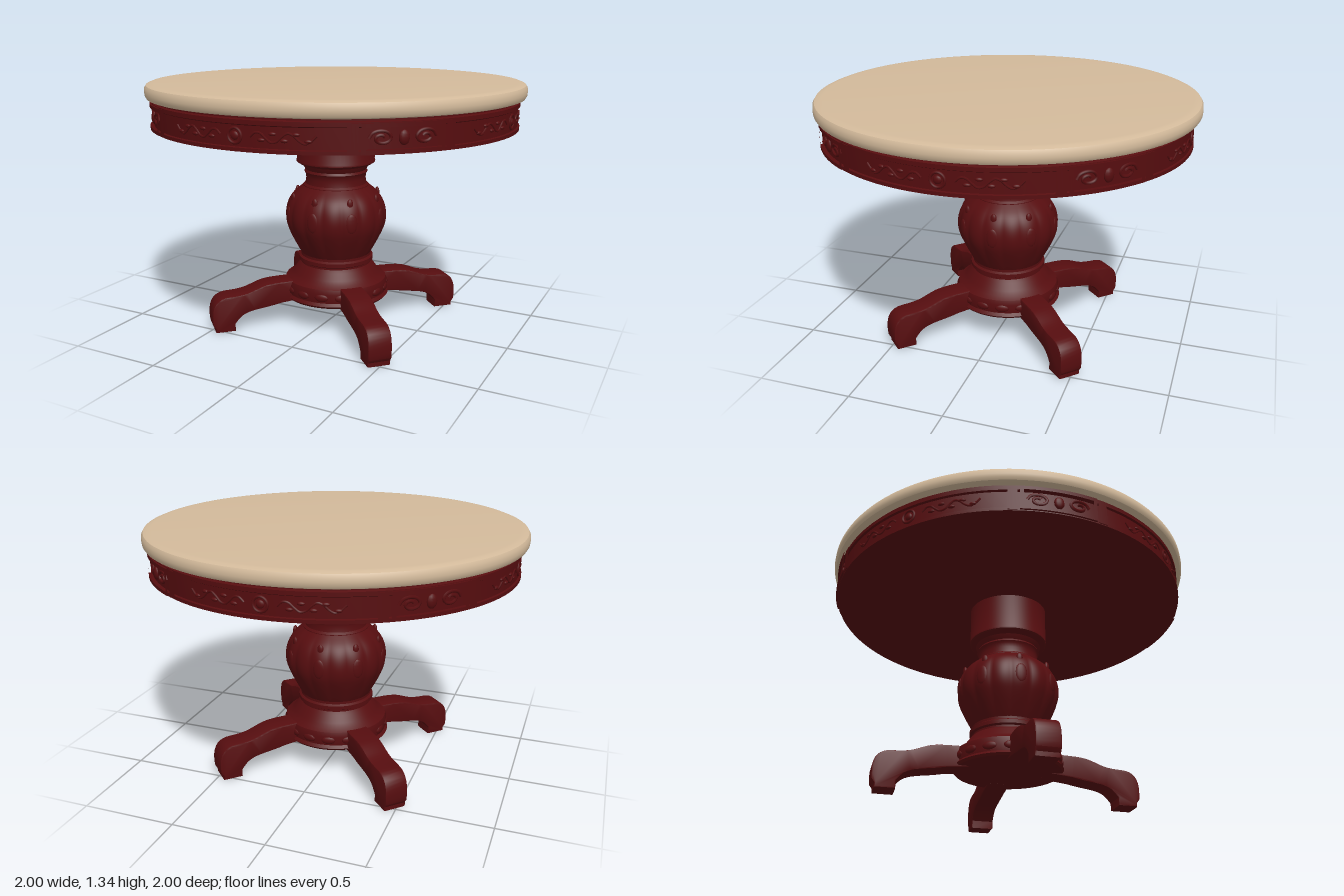
import * as THREE from 'three';
import { toCreasedNormals } from 'three/addons/utils/BufferGeometryUtils.js';

const wood = new THREE.MeshStandardMaterial({ color: 0x560d0f });
wood.name = 'dark red wood';
const stone = new THREE.MeshStandardMaterial({ color: 0xd3ba9b });
stone.name = 'cream stone';

const V2 = (list) => list.map(([x, y]) => new THREE.Vector2(x, y));
const around = (r, a, y) => new THREE.Vector3(r * Math.sin(a), y, r * Math.cos(a));

function add(parent, name, geometry, material = wood) {
  const mesh = new THREE.Mesh(geometry, material);
  mesh.name = name;
  parent.add(mesh);
  return mesh;
}

// Turned part, or an arc of one, with crisp edges
function turned(profile, segments = 96, start = 0, length = Math.PI * 2) {
  return toCreasedNormals(new THREE.LatheGeometry(V2(profile), segments, start, length), 0.6);
}

// Thin carved line that follows the round apron
function carvedLine(parent, name, r, points, thick) {
  const curve = new THREE.CatmullRomCurve3(points.map(([a, y]) => around(r, a, y)));
  add(parent, name, new THREE.TubeGeometry(curve, points.length * 5, thick, 5));
}

// Flattened carved boss facing outward
function boss(parent, name, r, a, y, w, h, d) {
  const mesh = add(parent, name, new THREE.SphereGeometry(1, 12, 8));
  mesh.scale.set(w, h, d);
  mesh.position.copy(around(r, a, y));
  mesh.rotation.y = a;
}

function addApron(table) {
  const apron = new THREE.Group();
  apron.name = 'apron';
  table.add(apron);
  add(apron, 'apronRing', turned([
    [0, 1.11], [0.967, 1.11], [0.967, 1.127], [0.957, 1.13], [0.957, 1.225],
    [0.967, 1.23], [0.967, 1.25], [0.955, 1.255], [0.955, 1.275], [0, 1.275]]));
  for (let k = 0; k < 4; k++) {
    const mid = k * Math.PI / 2;
    // Plain dividing blocks beside each long panel
    for (const s of [-1, 1]) {
      add(apron, 'apronDivider', turned(
        [[0.95, 1.115], [0.971, 1.115], [0.971, 1.245], [0.95, 1.245]], 3, mid + s * 0.55 - 0.025, 0.05));
      // Scrolling vine with leaves
      const vine = [];
      for (let i = 0; i <= 12; i++) vine.push([mid + s * (0.08 + i * 0.026), 1.178 + 0.022 * Math.sin(i * 1.1)]);
      carvedLine(apron, 'apronVine', 0.957, vine, 0.006);
      for (let i = 1; i < 6; i++) {
        boss(apron, 'apronLeaf', 0.957, mid + s * (0.08 + i * 0.055), 1.178 + (i % 2 ? -0.012 : 0.016), 0.018, 0.009, 0.009);
      }
    }
    // Round medallion in the long panel
    const ring = add(apron, 'apronMedallion', new THREE.TorusGeometry(0.034, 0.007, 6, 24));
    ring.position.copy(around(0.957, mid, 1.178));
    ring.rotation.y = mid;
    boss(apron, 'apronMedallionCentre', 0.957, mid, 1.178, 0.02, 0.02, 0.01);

    // Short framed panel on each diagonal
    const diagonal = mid + Math.PI / 4;
    for (const [y0, y1] of [[1.115, 1.132], [1.228, 1.247]]) {
      add(apron, 'carvedPanelRail', turned(
        [[0.95, y0], [0.977, y0], [0.977, y1], [0.95, y1]], 10, diagonal - 0.2, 0.4));
    }
    for (const s of [-1, 1]) {
      add(apron, 'carvedPanelStile', turned(
        [[0.95, 1.115], [0.977, 1.115], [0.977, 1.247], [0.95, 1.247]], 2, diagonal + s * 0.19 - 0.01, 0.02));
      const scroll = [];
      for (let i = 0; i <= 12; i++) {
        const r = 0.036 * (1 - i / 16);
        scroll.push([diagonal + s * (0.105 + r * 1.6 * Math.cos(i * 0.75)), 1.18 + r * Math.sin(i * 0.75)]);
      }
      carvedLine(apron, 'carvedScroll', 0.959, scroll, 0.008);
    }
    boss(apron, 'carvedFlower', 0.959, diagonal, 1.18, 0.026, 0.034, 0.014);
  }
}

function addColumn(table) {
  const column = new THREE.Group();
  column.name = 'column';
  table.add(column);
  add(column, 'upperCollar', turned([
    [0.175, 0.885], [0.2, 0.895], [0.215, 0.905], [0.215, 0.915], [0.212, 0.92], [0.215, 1.12]], 64));
  add(column, 'neck', turned([
    [0.18, 0.755], [0.18, 0.775], [0.168, 0.785], [0.163, 0.815], [0.167, 0.84], [0.174, 0.85],
    [0.167, 0.862], [0.175, 0.875], [0.182, 0.89], [0.175, 0.9]], 64));

  // Ribbed bulb: the turned shape is pressed in and out around its axis
  const bulb = new THREE.LatheGeometry(new THREE.SplineCurve(V2([
    [0.19, 0.385], [0.215, 0.43], [0.25, 0.5], [0.272, 0.56], [0.276, 0.62],
    [0.262, 0.68], [0.23, 0.73], [0.175, 0.775]])).getPoints(28), 160);
  const p = bulb.attributes.position;
  for (let i = 0; i < p.count; i++) {
    const a = Math.atan2(p.getX(i), p.getZ(i));
    const swell = Math.sin(Math.PI * (p.getY(i) - 0.385) / 0.39);
    const k = 1 + 0.03 * swell * (Math.abs(Math.cos(a * 8)) - 0.7);
    p.setX(i, p.getX(i) * k);
    p.setZ(i, p.getZ(i) * k);
  }
  bulb.computeVertexNormals();
  add(column, 'bulb', bulb);
  for (let k = 0; k < 8; k++) {
    const a = k * Math.PI / 4;
    boss(column, 'bulbMedallion', 0.27, a, 0.61, 0.034, 0.055, 0.012);
    boss(column, 'bulbLeaf', 0.243, a, 0.71, 0.018, 0.03, 0.012);
  }

  add(column, 'pedestalBase', turned([
    [0, 0.148], [0.285, 0.148], [0.295, 0.16], [0.282, 0.175], [0.288, 0.225], [0.28, 0.25], [0.255, 0.265],
    [0.235, 0.285], [0.21, 0.32], [0.195, 0.335], [0.195, 0.345], [0.207, 0.352], [0.207, 0.372],
    [0.195, 0.38], [0.195, 0.395], [0.17, 0.4]], 72));
  for (let k = 0; k < 16; k++) {
    boss(column, 'baseLeaf', 0.283, (k + 0.5) * Math.PI / 8, 0.205, 0.038, 0.022, 0.012);
  }
}

function addLegs(table) {
  // Side outline of a leg: distance from the axis, height
  const bevel = 0.008;
  const shape = new THREE.Shape();
  shape.moveTo(0.2, 0.155);
  shape.lineTo(0.34, 0.14);
  shape.bezierCurveTo(0.45, 0.115, 0.53, 0.125, 0.575, 0.075);
  shape.lineTo(0.6, 0.045);
  shape.lineTo(0.6, bevel);
  shape.lineTo(0.69, bevel);
  shape.lineTo(0.69, 0.025);
  shape.lineTo(0.705, 0.045);
  shape.bezierCurveTo(0.715, 0.13, 0.7, 0.19, 0.62, 0.192);
  shape.bezierCurveTo(0.5, 0.195, 0.5, 0.215, 0.42, 0.238);
  shape.bezierCurveTo(0.36, 0.25, 0.3, 0.245, 0.2, 0.25);
  const width = 0.125;
  const leg = new THREE.ExtrudeGeometry(shape, {
    depth: width - 2 * bevel, curveSegments: 10, bevelEnabled: true,
    bevelSize: bevel, bevelThickness: bevel, bevelSegments: 2 });
  leg.translate(0, 0, bevel - width / 2);
  const geometry = toCreasedNormals(leg, 0.6);
  for (let k = 0; k < 4; k++) {
    add(table, 'leg', geometry).rotation.y = Math.PI / 4 + k * Math.PI / 2;
  }
}

export function createModel() {
  const table = new THREE.Group();
  table.name = 'roundPedestalTable';
  // Round top with a softened edge
  add(table, 'tableTop', turned([
    [0, 1.265], [0.975, 1.265], [0.99, 1.27], [0.998, 1.283], [1, 1.3], [0.998, 1.322],
    [0.99, 1.335], [0.972, 1.342], [0.95, 1.344], [0, 1.344]], 128), stone);
  addApron(table);
  addColumn(table);
  addLegs(table);
  return table;
}
